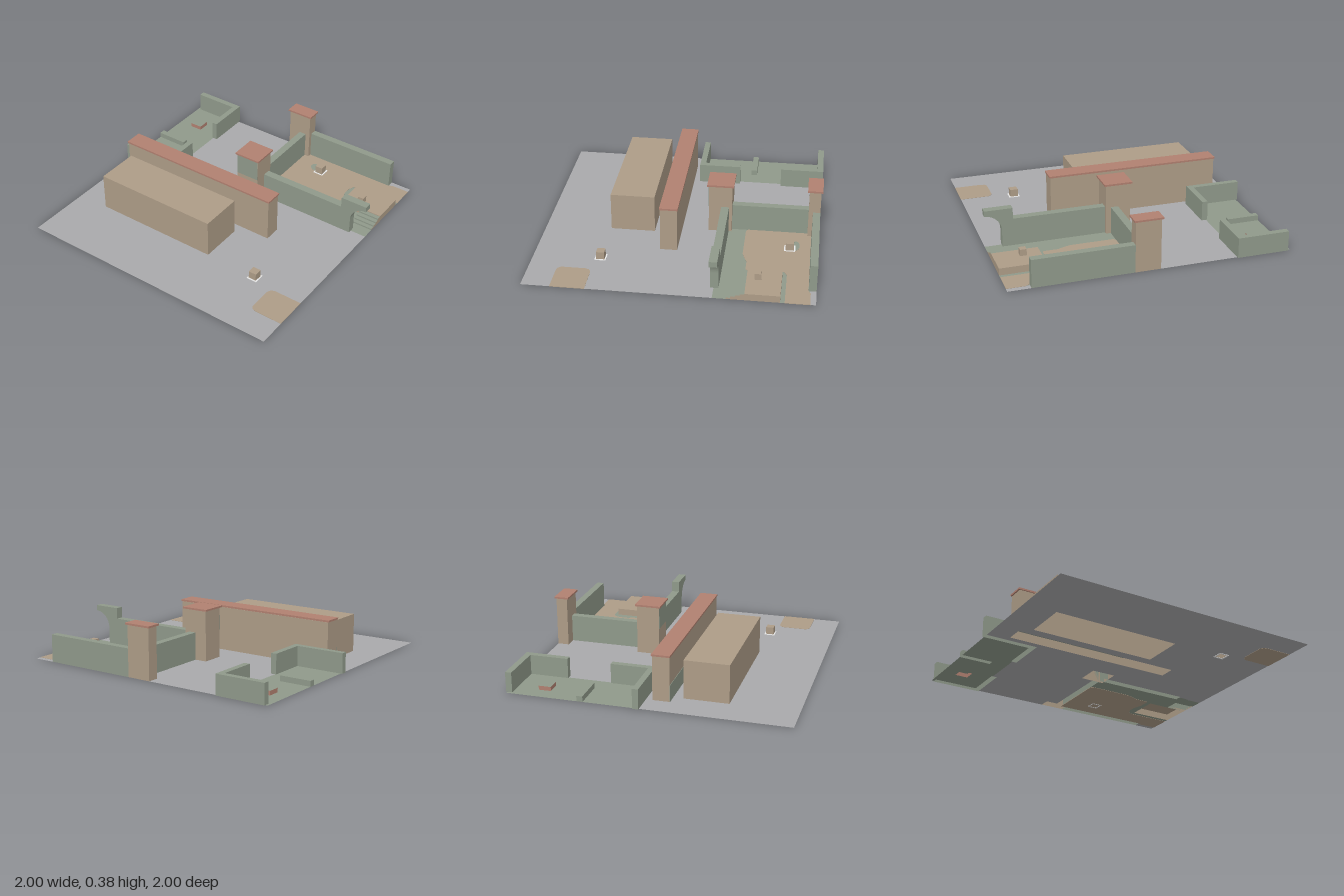
import * as THREE from 'three';

const flat = (name, color) => {
  const m = new THREE.MeshStandardMaterial({ color, side: THREE.DoubleSide });
  m.name = name;
  return m;
};

export function createModel() {
  const model = new THREE.Group();
  const grey = flat('paving grey', 0xa9a9ab);
  const tan = flat('sandstone tan', 0xad9c87);
  const green = flat('moss green', 0x8f998a);
  const red = flat('roof red', 0xb08070);
  const white = flat('marker white', 0xffffff);
  const footprints = [];

  const add = (name, geometry, material) => {
    const mesh = new THREE.Mesh(geometry, material);
    mesh.name = name;
    model.add(mesh);
    return mesh;
  };

  // closed box between two corners
  const slab = (name, x0, x1, y0, y1, z0, z1, mat) => {
    const g = new THREE.BoxGeometry(x1 - x0, y1 - y0, z1 - z0);
    g.translate((x0 + x1) / 2, (y0 + y1) / 2, (z0 + z1) / 2);
    return add(name, g, mat);
  };

  // hollow block with no underside; mats may give a colour for +x, -x, top, +z, -z
  const block = (name, x0, x1, z0, z1, h, mat, base = 0) => {
    const g = new THREE.BoxGeometry(x1 - x0, h, z1 - z0);
    g.translate((x0 + x1) / 2, base + h / 2, (z0 + z1) / 2);
    const index = Array.from(g.index.array);
    index.splice(18, 6);
    g.setIndex(index);
    g.clearGroups();
    if (Array.isArray(mat)) mat.forEach((m, i) => g.addGroup(i * 6, 6, i));
    if (base === 0) footprints.push([x0, x1, z0, z1]);
    return add(name, g, mat);
  };

  // thin painted area lying on the ground, outlined by x, z points
  const groundPaint = (name, points, mat, y = 0, smooth = false) => {
    const v = points.map(([x, z]) => new THREE.Vector2(x, -z));
    let shape = new THREE.Shape(v);
    if (smooth) {
      shape = new THREE.Shape(new THREE.SplineCurve([...v, v[0]]).getPoints(40));
    }
    const g = new THREE.ExtrudeGeometry(shape, { depth: 0.004, bevelEnabled: false });
    g.rotateX(-Math.PI / 2);
    g.translate(0, y - 0.002, 0);
    return add(name, g, mat);
  };

  // long block and long capped wall
  block('longBlock', -0.75, 0.2, 0.2, 0.52, 0.28, tan);
  block('longWall', -0.83, 0.44, 0.005, 0.126, 0.32, tan);
  slab('longWallCap', -0.838, 0.447, 0.322, 0.335, 0, 0.131, red);
  slab('longWallMoss', -0.829, 0.02, 0, 0.12, 0.122, 0.129, green);

  // two gate towers with caps
  for (const [name, z0, z1] of [['frontTower', -0.355, -0.187], ['backTower', -0.988, -0.905]]) {
    block(name, -0.045, 0.135, z0, z1, 0.363, tan);
    slab(name + 'Cap', -0.056, 0.147, 0.365, 0.378, z0 - 0.012, z1 + 0.013, red);
  }
  slab('frontTowerMoss', -0.044, 0.134, 0.2, 0.363, -0.19, -0.184, green);

  // walled court on the left
  block('courtSideWall', 0.046, 0.1, -0.905, -0.355, 0.2, green);
  block('courtBackWall', 0.135, 0.84, -0.988, -0.935, 0.2, green);
  block('courtFrontWall', 0.1, 0.8, -0.333, -0.276, 0.2, green);

  // broken half arch at the end of the front wall
  const arch = new THREE.Shape();
  arch.moveTo(0.8, 0);
  arch.lineTo(0.88, 0);
  arch.lineTo(0.88, 0.12);
  arch.absarc(1, 0.12, 0.12, Math.PI, Math.PI / 2, true);
  arch.lineTo(1, 0.28);
  arch.lineTo(0.8, 0.28);
  arch.closePath();
  const archGeo = new THREE.ExtrudeGeometry(arch, { depth: 0.057, bevelEnabled: false, curveSegments: 16 });
  archGeo.translate(0, 0, -0.333);
  add('halfArch', archGeo, green);

  // raised platform with four steps
  block('platform', 0.677, 1, -0.752, -0.515, 0.05, tan);
  for (let i = 0; i < 4; i++) {
    block('step', 0.84, 1, -0.515 + (3 - i) * 0.031, -0.515 + (4 - i) * 0.031,
      0.011 * (i + 1), [tan, green, green, green, green]);
  }

  // small crates, two of them with a white frame on the ground
  for (const [x, z] of [[0.6, 0.522], [0.322, -0.787]]) {
    block('crate', x - 0.029, x + 0.029, z - 0.029, z + 0.029, 0.058, tan);
    const o = 0.04, n = 0.03;
    for (const s of [-1, 1]) {
      const a = Math.min(s * o, s * n), b = Math.max(s * o, s * n);
      slab('crateFrame', x + a, x + b, -0.003, 0.004, z - o, z + o, white);
      slab('crateFrame', x - n, x + n, -0.003, 0.004, z + a, z + b, white);
    }
  }
  block('platformCrate', 0.777, 0.823, -0.615, -0.569, 0.046, tan, 0.05);

  // low ruined yard on the right
  block('yardBackWall', -0.97, -0.64, -1, -0.955, 0.145, green);
  block('yardBackSideWall', -0.64, -0.597, -1, -0.675, 0.145, green);
  block('yardFrontSideWall', -0.64, -0.597, -0.356, -0.04, 0.145, green);
  block('yardFrontWall', -1, -0.64, -0.083, -0.04, 0.145, green);
  block('yardBench', -0.988, -0.752, -0.48, -0.437, 0.04, green);
  block('yardCrate', -0.88, -0.785, -0.797, -0.708, 0.03, [red, red, green, red, red]);

  // ground cut into cells, left open beneath every hollow block
  const floors = [[-0.988, -0.63, -0.988, -0.04], [0.1, 1, -0.945, -0.3]];
  const ground = [-0.988, 1, -0.988, 1];
  const cuts = (k) => [...new Set([ground, ...floors, ...footprints].flatMap((r) => [r[k], r[k + 1]]))]
    .filter((c) => c >= -0.988 && c <= 1).sort((a, b) => a - b);
  const xs = cuts(0), zs = cuts(2);
  const inside = (x, z) => (r) => x > r[0] && x < r[1] && z > r[2] && z < r[3];
  const cells = { grey: [], green: [] };
  for (let i = 0; i + 1 < xs.length; i++) {
    for (let j = 0; j + 1 < zs.length; j++) {
      const [a, b, c, d] = [xs[i], xs[i + 1], zs[j], zs[j + 1]];
      const test = inside((a + b) / 2, (c + d) / 2);
      if (footprints.some(test)) continue;
      const list = floors.some(test) ? cells.green : cells.grey;
      list.push(a, 0, c, a, 0, d, b, 0, d, a, 0, c, b, 0, d, b, 0, c);
    }
  }
  for (const [name, list, mat] of [['pavedGround', cells.grey, grey], ['mossyGround', cells.green, green]]) {
    const g = new THREE.BufferGeometry();
    g.setAttribute('position', new THREE.Float32BufferAttribute(list, 3));
    g.computeVertexNormals();
    add(name, g, mat);
  }

  // worn earth in the court, a mossy spot on it, and an earth patch near the corner
  groundPaint('courtEarth', [
    [0.1, -0.934], [0.84, -0.934], [0.87, -0.95], [1, -0.95], [1, -0.782], [0.67, -0.782], [0.635, -0.765],
    [0.617, -0.72], [0.617, -0.66], [0.635, -0.6], [0.64, -0.51], [0.63, -0.495], [0.53, -0.495],
    [0.48, -0.475], [0.43, -0.46], [0.12, -0.46], [0.1, -0.475],
  ], tan);
  groundPaint('courtMossSpot', [
    [0.22, -0.81], [0.235, -0.845], [0.3, -0.855], [0.345, -0.83], [0.33, -0.79], [0.285, -0.77], [0.24, -0.785],
  ], green, 0.001, true);
  groundPaint('cornerEarth', [
    [1, 0.56], [0.79, 0.56], [0.765, 0.575], [0.755, 0.6], [0.755, 0.77], [0.77, 0.792], [0.8, 0.8], [1, 0.8],
  ], tan);

  return model;
}
